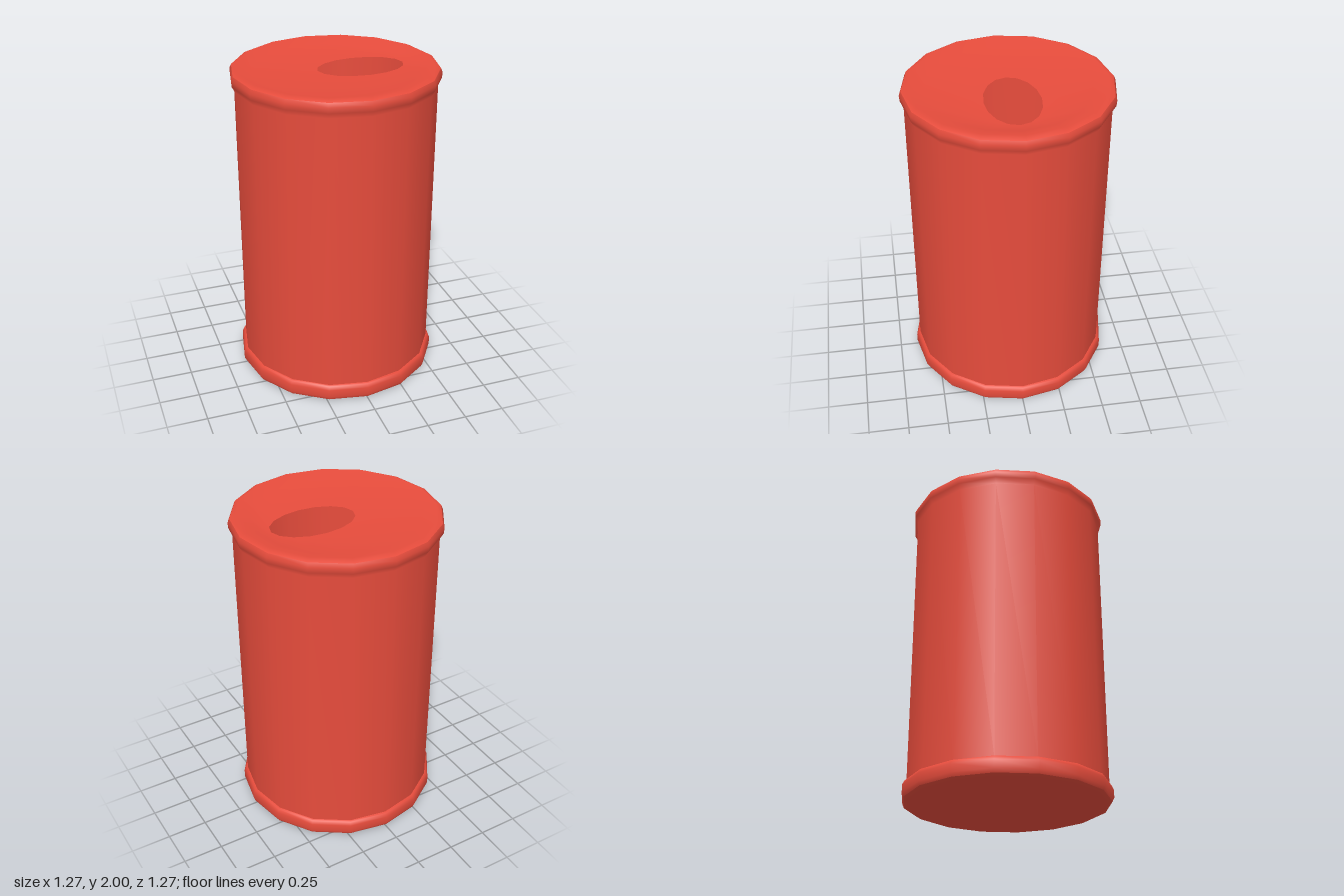
import * as THREE from 'three';

const SIDES = 16;
const red = new THREE.MeshStandardMaterial({ color: 0xe74c3c, side: THREE.DoubleSide });

function addLathe(group, name, profile) {
  const points = profile.map(([r, y]) => new THREE.Vector2(r, y));
  const mesh = new THREE.Mesh(new THREE.LatheGeometry(points, SIDES), red);
  mesh.name = name;
  group.add(mesh);
}

// Dished lid: rings that go over the rounded lip and blend into the oval drinking hole
function lidGeometry() {
  const rings = [
    { cx: 0, rx: 0.624, rz: 0.624, y: 1.985 },
    { cx: 0, rx: 0.59, rz: 0.59, y: 2 },
    { cx: 0, rx: 0.5, rz: 0.5, y: 1.972 },
    { cx: 0.16, rx: 0.27, rz: 0.168, y: 1.966 },
  ];
  const positions = [];
  const indices = [];
  rings.forEach(({ cx, rx, rz, y }, ring) => {
    for (let i = 0; i < SIDES; i++) {
      const a = (i / SIDES) * Math.PI * 2;
      positions.push(cx + rx * Math.sin(a), y, rz * Math.cos(a));
      if (ring === 0) continue;
      const next = (i + 1) % SIDES;
      const outer = (ring - 1) * SIDES;
      const inner = ring * SIDES;
      indices.push(outer + i, outer + next, inner + next, outer + i, inner + next, inner + i);
    }
  });
  const geometry = new THREE.BufferGeometry();
  geometry.setAttribute('position', new THREE.Float32BufferAttribute(positions, 3));
  geometry.setIndex(indices);
  geometry.computeVertexNormals();
  return geometry;
}

export function createModel() {
  const can = new THREE.Group();
  can.name = 'can';

  // Hollow wall flaring smoothly into the upper rim
  addLathe(can, 'wallAndTopRim', [
    [0.612, 0.11], [0.612, 1.89], [0.632, 1.925], [0.635, 1.96], [0.624, 1.985],
  ]);

  const lid = new THREE.Mesh(lidGeometry(), red);
  lid.name = 'lid';
  can.add(lid);

  // Lower rim band, then the lip and concave base
  addLathe(can, 'bottomRim', [
    [0.626, 0.012], [0.637, 0.035], [0.636, 0.085], [0.625, 0.108], [0.612, 0.112],
  ]);
  addLathe(can, 'base', [[0, 0.038], [0.5, 0.03], [0.6, 0], [0.626, 0.012]]);

  return can;
}
